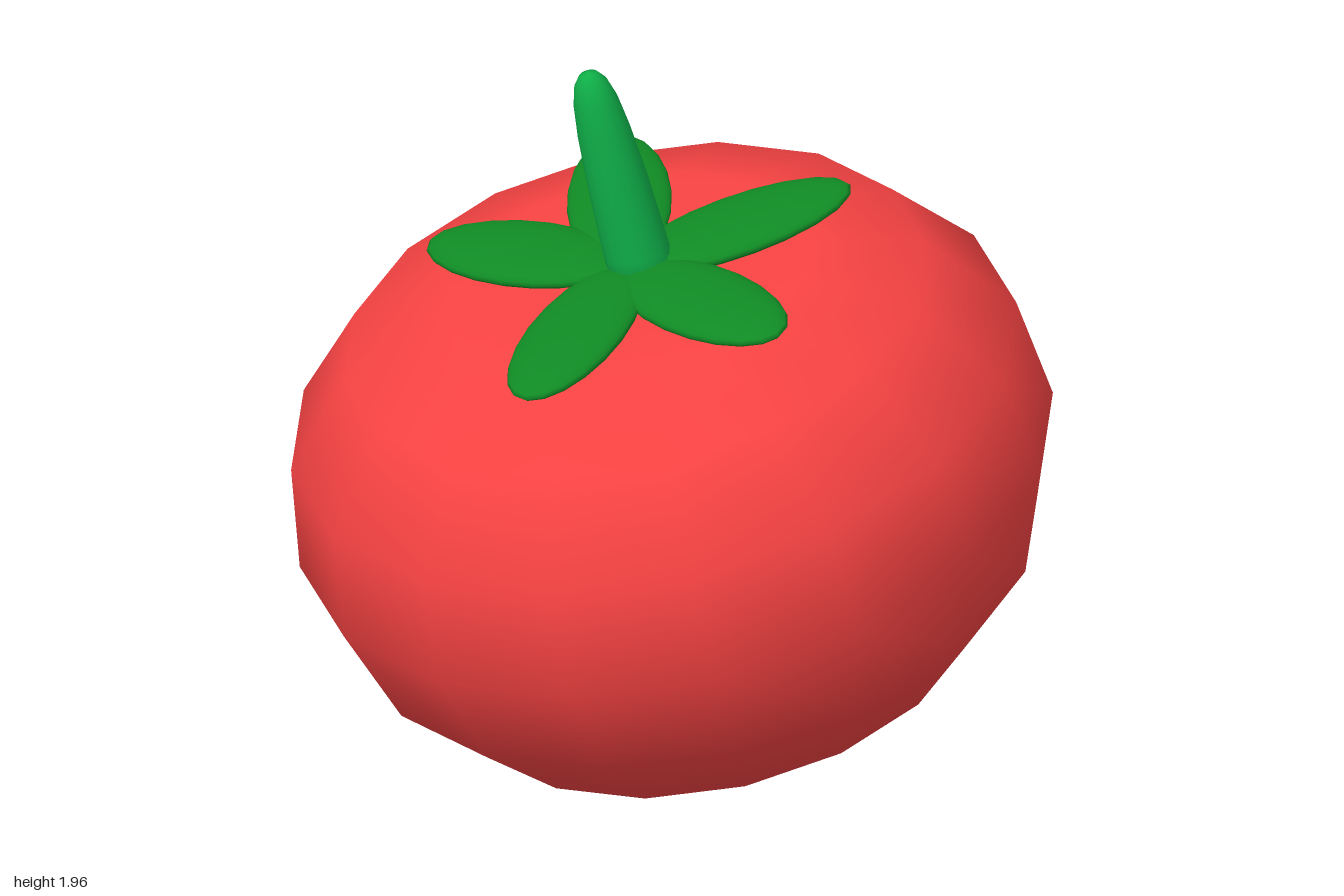
import * as THREE from 'three';

const material = (color) => new THREE.MeshStandardMaterial({ color });

function addLathe(parent, name, profile, sides, mat) {
  const points = profile.map(([r, y]) => new THREE.Vector2(r, y));
  const mesh = new THREE.Mesh(new THREE.LatheGeometry(points, sides), mat);
  mesh.name = name;
  parent.add(mesh);
  return mesh;
}

export function createModel() {
  const model = new THREE.Group();
  model.name = 'tomato';
  const red = material(0xf54242);
  const leafGreen = material(0x108a24);
  const stemGreen = material(0x0fae48);

  // Fruit and leaves share one leaning axis
  const fruit = new THREE.Group();
  fruit.name = 'fruit';
  fruit.position.set(0.177, 0.032, 0);
  fruit.rotation.z = THREE.MathUtils.degToRad(13.1);
  model.add(fruit);

  // Squashed body, fuller near the top, with a dent under the stem
  addLathe(fruit, 'body', [
    [0, 0], [0.365, 0.055], [0.678, 0.21], [0.894, 0.445], [0.997, 0.743],
    [0.96, 1.035], [0.77, 1.272], [0.485, 1.368], [0, 1.33],
  ], 16, red);

  // Five flat oval leaves around the stem: [angle, reach]
  const leaves = [[9, 0.63], [77, 0.61], [144, 0.61], [238, 0.59], [296, 0.64]];
  const leafShape = new THREE.SphereGeometry(1, 20, 14);
  leaves.forEach(([degrees, reach], i) => {
    const angle = THREE.MathUtils.degToRad(degrees);
    const half = reach / 2;
    const leaf = new THREE.Mesh(leafShape, leafGreen);
    leaf.name = `leaf${i + 1}`;
    leaf.scale.set(half, 0.038, 0.138);
    leaf.position.set(Math.cos(angle) * half, 1.405, Math.sin(angle) * half);
    leaf.rotation.y = -angle;
    fruit.add(leaf);
  });

  // Tapered stem with a rounded tip
  const stem = addLathe(model, 'stem', [
    [0, -0.08], [0.088, -0.08], [0.086, 0.05], [0.079, 0.25], [0.069, 0.4],
    [0.058, 0.49], [0.044, 0.54], [0.024, 0.567], [0, 0.575],
  ], 16, stemGreen);
  stem.position.set(-0.1, 1.4, 0.01);
  const lean = new THREE.Vector3(-0.12, 0.56, -0.07).normalize();
  stem.quaternion.setFromUnitVectors(new THREE.Vector3(0, 1, 0), lean);

  return model;
}
